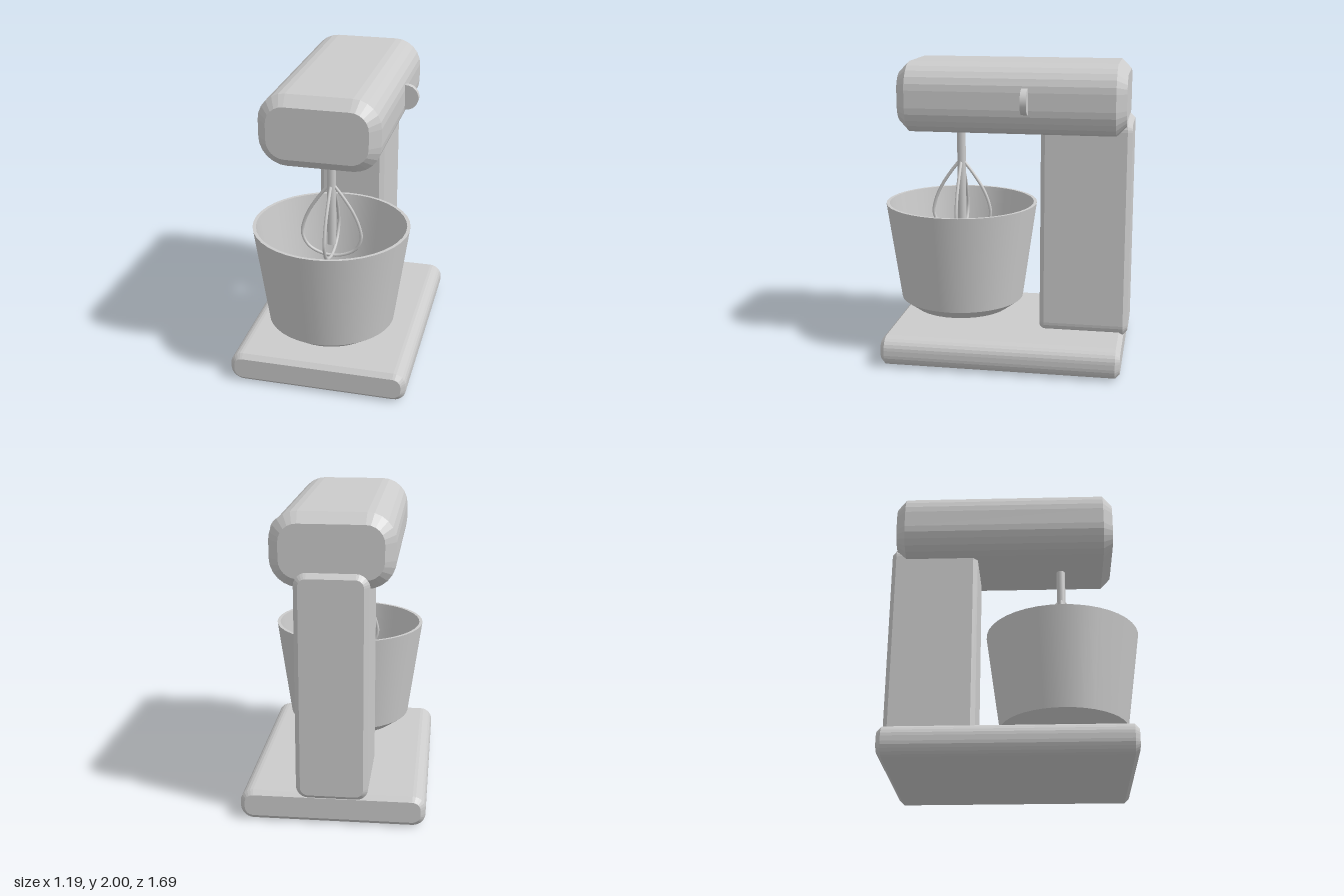
import * as THREE from 'three';

const mat = new THREE.MeshStandardMaterial({ color: 0xcccccc });
const metal = new THREE.MeshStandardMaterial({ color: 0xcccccc, side: THREE.DoubleSide });
const AXIS_Z = 0.325; // bowl and whisk axis

function add(parent, name, geometry, material = mat) {
  const mesh = new THREE.Mesh(geometry, material);
  mesh.name = name;
  parent.add(mesh);
  return mesh;
}

// Rounded rectangle extruded along z with a single chamfer at both ends
function roundedBlock(halfW, y0, y1, z0, z1, radius, bevel) {
  const w = halfW - bevel, b = y0 + bevel, t = y1 - bevel, r = radius - bevel;
  const shape = new THREE.Shape();
  shape.moveTo(-w + r, b);
  shape.absarc(w - r, b + r, r, -Math.PI / 2, 0);
  shape.absarc(w - r, t - r, r, 0, Math.PI / 2);
  shape.absarc(-w + r, t - r, r, Math.PI / 2, Math.PI);
  shape.absarc(-w + r, b + r, r, Math.PI, Math.PI * 1.5);
  const geometry = new THREE.ExtrudeGeometry(shape, {
    depth: z1 - z0 - 2 * bevel, curveSegments: 3,
    bevelEnabled: true, bevelSegments: 1, bevelSize: bevel, bevelThickness: bevel,
  });
  return geometry.translate(0, 0, z0 + bevel);
}

export function createModel() {
  const model = new THREE.Group();
  model.name = 'standMixer';

  // Body
  add(model, 'base', roundedBlock(0.595, 0, 0.2, -0.82, 0.77, 0.085, 0.03));
  add(model, 'column', roundedBlock(0.23, 0.17, 1.64, -0.845, -0.25, 0.08, 0.03));
  add(model, 'head', roundedBlock(0.385, 1.535, 2, -0.81, 0.685, 0.18, 0.065));

  // Speed knob half sunk into the side of the head
  const knob = add(model, 'speedKnob', new THREE.CylinderGeometry(0.085, 0.085, 0.04, 24));
  knob.rotation.x = Math.PI / 2;
  knob.position.set(0.39, 1.77, -0.17);

  // Bowl: separate lathe strips keep the profile edges sharp
  const bowl = new THREE.Group();
  bowl.name = 'bowl';
  bowl.position.z = AXIS_Z;
  model.add(bowl);
  const profile = [[0, 0.28], [0.33, 0.28], [0.425, 0.35], [0.52, 1.02],
    [0.498, 1.02], [0.405, 0.365], [0.32, 0.3], [0, 0.3]];
  const names = ['bowlBottom', 'bowlFoot', 'bowlWall', 'bowlRim',
    'bowlInnerWall', 'bowlInnerFoot', 'bowlFloor'];
  names.forEach((name, i) => {
    const points = [profile[i], profile[i + 1]].map(([r, y]) => new THREE.Vector2(r, y));
    add(bowl, name, new THREE.LatheGeometry(points, 40), metal);
  });

  // Whisk: shaft with two crossed wire loops
  const whisk = new THREE.Group();
  whisk.name = 'whisk';
  whisk.position.z = AXIS_Z;
  model.add(whisk);
  add(whisk, 'whiskShaft', new THREE.CylinderGeometry(0.03, 0.03, 0.7, 12)).position.y = 1.23;
  const side = [[0.01, 1.31], [0.08, 1.22], [0.15, 1.11], [0.19, 1.01], [0.2, 0.93], [0.15, 0.84]];
  const path = [...side, [0, 0.79], ...side.slice().reverse().map(([x, y]) => [-x, y])];
  const curve = new THREE.CatmullRomCurve3(path.map(([x, y]) => new THREE.Vector3(x, y, 0)));
  for (let i = 0; i < 2; i++) {
    const wire = add(whisk, 'whiskWire', new THREE.TubeGeometry(curve, 48, 0.011, 8));
    wire.rotation.y = i * Math.PI / 2;
  }
  return model;
}
